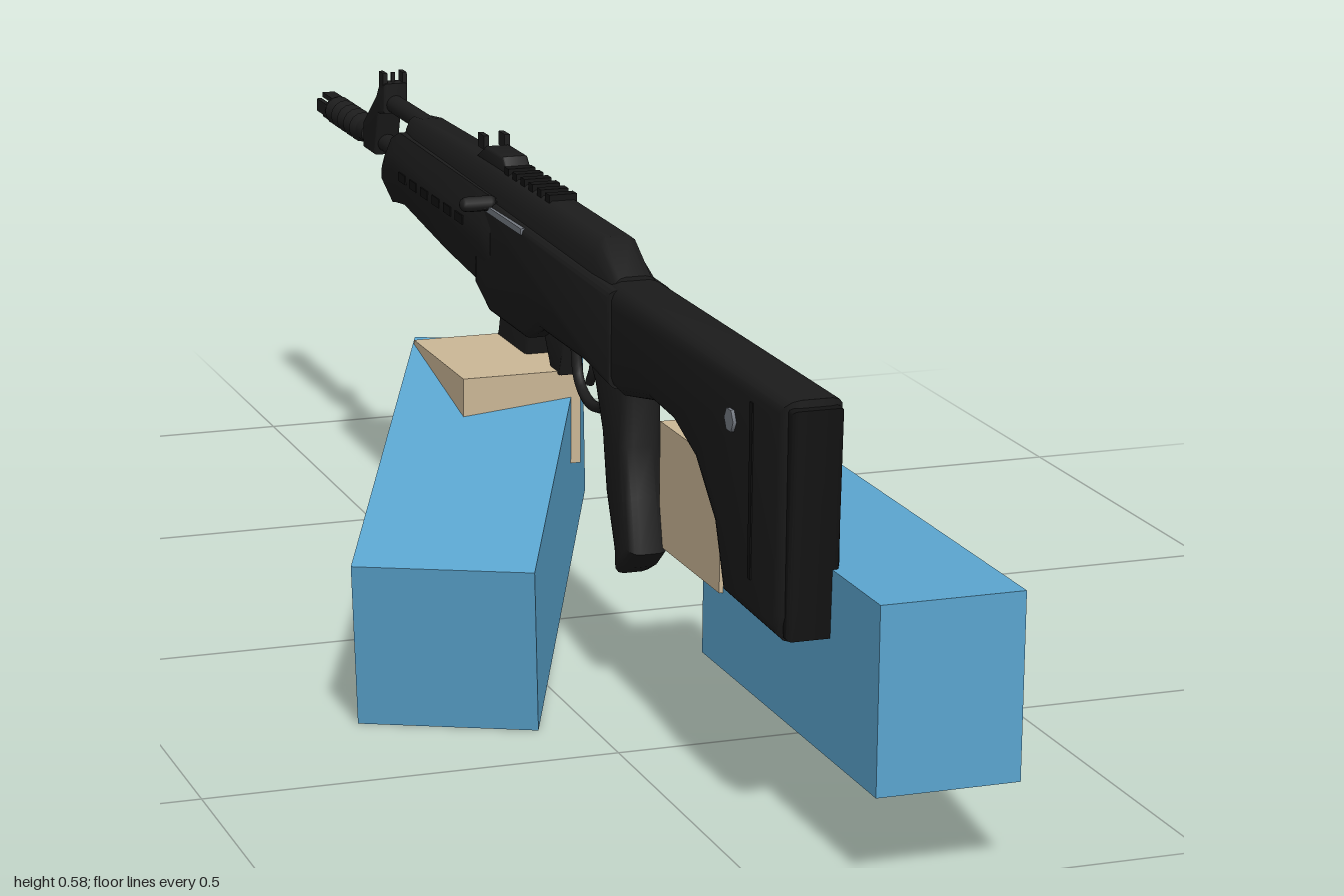
import * as THREE from 'three';
import { toCreasedNormals } from 'three/addons/utils/BufferGeometryUtils.js';

const CX = 0.089; // centre plane of the rifle

export function createModel() {
  const model = new THREE.Group();
  model.name = 'rifleWithArms';
  const mat = (name, color) => {
    const m = new THREE.MeshStandardMaterial({ color });
    m.name = name;
    return m;
  };
  const black = mat('gunBlack', 0x1c1c1c);
  const dark = mat('deepBlack', 0x121212);
  const blue = mat('sleeveBlue', 0x5ba5cf);
  const tan = mat('skinTan', 0xcbb796);
  const grey = mat('steelGrey', 0x747981);
  const brass = mat('brass', 0xa8642a);

  const add = (name, geo, material, x = 0, y = 0, z = 0) => {
    const m = new THREE.Mesh(geo, material);
    m.name = name;
    m.position.set(x, y, z);
    model.add(m);
    return m;
  };
  const box = (name, material, x, y, z, w, h, d) =>
    add(name, new THREE.BoxGeometry(w, h, d), material, x, y, z);

  // Side outline given as [z, y], extruded across the rifle with rounded edges
  const slab = (name, pts, width, bevel, material, smooth = false) => {
    const v = pts.map(p => new THREE.Vector2(p[0], p[1]));
    const shape = new THREE.Shape();
    if (smooth) shape.setFromPoints(new THREE.CatmullRomCurve3(
      v.map(p => new THREE.Vector3(p.x, p.y, 0)), true, 'centripetal').getPoints(48)
      .slice(0, -1).map(p => new THREE.Vector2(p.x, p.y)));
    else shape.setFromPoints(v);
    const depth = width - 2 * bevel;
    let geo = new THREE.ExtrudeGeometry(shape, {
      depth, bevelEnabled: bevel > 0, bevelSize: bevel, bevelThickness: bevel,
      bevelOffset: -bevel, bevelSegments: 3,
    });
    geo.translate(0, 0, -depth / 2);
    geo.rotateY(-Math.PI / 2);
    geo = toCreasedNormals(geo, 0.6);
    return add(name, geo, material, CX);
  };

  // Closed tube of cross-sections; stations are [z, bottom, top, width]
  const loft = (name, section, stations, material) => {
    const n = section.length, pos = [], idx = [];
    stations.forEach(([z, b, t, w]) => section.forEach(([sx, sy]) =>
      pos.push(sx * w / 2, b + (t - b) * sy, z)));
    for (let s = 0; s < stations.length - 1; s++)
      for (let i = 0; i < n; i++) {
        const a = s * n + i, b = s * n + (i + 1) % n;
        idx.push(a, b, b + n, a, b + n, a + n);
      }
    const e = (stations.length - 1) * n;
    for (let i = 1; i < n - 1; i++) idx.push(0, i + 1, i, e, e + i, e + i + 1);
    const geo = new THREE.BufferGeometry();
    geo.setAttribute('position', new THREE.Float32BufferAttribute(pos, 3));
    geo.setIndex(idx);
    return add(name, toCreasedNormals(geo, 0.7), material, CX);
  };
  const rod = (name, y, z0, z1, r0, r1 = r0, material = black) => {
    const geo = new THREE.CylinderGeometry(r1, r0, Math.abs(z1 - z0), 16);
    geo.rotateX(-Math.PI / 2);
    return add(name, geo, material, CX, y, (z0 + z1) / 2);
  };

  // Arms: one straight, one reaching up and across
  box('rightSleeve', blue, 0.194, 0.216, 0.74, 0.168, 0.215, 0.52);
  box('rightHand', tan, 0.164, 0.277, 0.445, 0.118, 0.153, 0.2);
  const sleeve = box('leftSleeve', blue, 0, 0, 0, 0.215, 0.2145, 0.587);
  const w = new THREE.Vector3(0.195, 0, 0.09).normalize();
  const l = new THREE.Vector3(-0.24, -0.131, 0.52).normalize();
  const u = new THREE.Vector3().crossVectors(l, w);
  sleeve.quaternion.setFromRotationMatrix(new THREE.Matrix4().makeBasis(w, u, l));
  sleeve.position.set(-0.051, 0.173, 0.114);
  box('leftHand', tan, 0.031, 0.284, -0.048, 0.153, 0.12, 0.205);
  box('leftFinger', tan, 0.118, 0.335, -0.135, 0.018, 0.05, 0.018);
  box('leftFingertip', tan, 0.118, 0.315, -0.148, 0.014, 0.02, 0.02);

  // Stock and butt plate
  slab('stock', [[0.865, 0.515], [0.3, 0.515], [0.24, 0.5], [0.24, 0.395], [0.34, 0.385],
    [0.44, 0.405], [0.52, 0.4], [0.59, 0.375], [0.65, 0.32], [0.68, 0.245], [0.85, 0.24],
    [0.865, 0.27]], 0.072, 0.018, black);
  slab('buttPlate', [[0.874, 0.505], [0.85, 0.508], [0.85, 0.245], [0.865, 0.245]],
    0.06, 0.006, dark);
  for (const s of [-1, 1]) {
    const pin = new THREE.CylinderGeometry(0.014, 0.014, 0.006, 6);
    pin.rotateZ(Math.PI / 2);
    add('stockPin', pin, grey, CX + s * 0.037, 0.455, 0.71);
    box('stockGroove', dark, CX + s * 0.0355, 0.39, 0.77, 0.004, 0.2, 0.008);
  }

  // Receiver, top cover and handguard
  const hull = [[-0.6, 0], [0.6, 0], [0.8, 0.25], [1, 0.5], [0.98, 0.72], [0.75, 1],
    [-0.75, 1], [-0.98, 0.72], [-1, 0.5], [-0.8, 0.25]];
  const cover = [[-1, 0], [1, 0], [0.92, 0.5], [0.7, 0.88], [0.45, 1],
    [-0.45, 1], [-0.7, 0.88], [-0.92, 0.5]];
  loft('handguard', hull, [[-0.61, 0.425, 0.47, 0.06], [-0.605, 0.42, 0.49, 0.08],
    [-0.58, 0.425, 0.515, 0.088], [-0.54, 0.43, 0.53, 0.09], [-0.35, 0.41, 0.528, 0.092],
    [-0.16, 0.395, 0.525, 0.09], [-0.13, 0.385, 0.525, 0.08]], black);
  slab('receiver', [[0.32, 0.51], [0.32, 0.39], [0.22, 0.4], [0.06, 0.4], [0, 0.375],
    [-0.14, 0.375], [-0.2, 0.4], [-0.2, 0.52]], 0.078, 0.01, black);
  loft('topCover', cover, [[-0.545, 0.515, 0.55, 0.05], [-0.5, 0.505, 0.555, 0.06],
    [-0.2, 0.505, 0.558, 0.064], [0.235, 0.505, 0.555, 0.064],
    [0.3, 0.505, 0.52, 0.056]], black);
  for (let i = 0; i < 6; i++) {
    box('railTooth', dark, CX, 0.558, 0.03 - i * 0.032, 0.036, 0.012, 0.016);
    for (const s of [-1, 1])
      box('handguardVent', dark, CX + s * 0.0452, 0.478, -0.24 - i * 0.05, 0.003, 0.012, 0.03);
  }
  box('ejectionPort', grey, CX + 0.0385, 0.5, -0.055, 0.008, 0.032, 0.15);
  box('boltSlot', grey, CX - 0.038, 0.51, -0.08, 0.006, 0.008, 0.15);
  const handle = new THREE.CapsuleGeometry(0.01, 0.03, 4, 10);
  handle.rotateZ(Math.PI / 2);
  add('chargingHandle', handle, black, 0.037, 0.518, -0.14);
  box('chargingStem', black, 0.055, 0.517, -0.14, 0.03, 0.01, 0.016);

  // Rear sight
  slab('rearSightBase', [[-0.13, 0.555], [-0.15, 0.574], [-0.22, 0.574], [-0.255, 0.555]],
    0.034, 0.003, black);
  for (const s of [-1, 1]) {
    box('rearSightEar', black, CX + s * 0.014, 0.578, -0.235, 0.007, 0.018, 0.025);
    box('frontSightEar', black, CX + s * 0.014, 0.575, -0.68, 0.006, 0.022, 0.02);
  }

  // Gas tube, front sight, barrel and muzzle device
  rod('gasTube', 0.542, -0.5, -0.7, 0.013);
  slab('frontSightBlock', [[-0.665, 0.572], [-0.688, 0.572], [-0.705, 0.55], [-0.77, 0.5],
    [-0.77, 0.463], [-0.715, 0.463], [-0.695, 0.525], [-0.668, 0.53]], 0.034, 0.004, black);
  box('frontSightPost', black, CX, 0.575, -0.68, 0.005, 0.02, 0.005);
  rod('barrel', 0.48, -0.55, -0.9, 0.013);
  rod('handguardCollar', 0.468, -0.59, -0.63, 0.024, 0.02);
  rod('muzzleBody', 0.48, -0.78, -0.94, 0.016);
  for (let i = 0; i < 5; i++)
    rod('muzzleRing', 0.48, -0.81 - i * 0.03, -0.825 - i * 0.03, 0.016, 0.021);
  rod('muzzleTip', 0.48, -0.94, -0.955, 0.019);
  for (const s of [-1, 1]) {
    box('muzzleProng', black, CX + s * 0.014, 0.48, -0.975, 0.007, 0.018, 0.05);
    box('muzzleProng', black, CX, 0.48 + s * 0.014, -0.975, 0.018, 0.007, 0.05);
  }

  // Pistol grip
  slab('pistolGrip', [[0.33, 0.405], [0.2, 0.405], [0.225, 0.37], [0.25, 0.32], [0.265, 0.25],
    [0.295, 0.185], [0.3, 0.155], [0.33, 0.17], [0.36, 0.195], [0.345, 0.26], [0.33, 0.32]],
    0.052, 0.014, black);

  // Trigger and its guard
  const curve = pts => new THREE.CatmullRomCurve3(pts.map(p => new THREE.Vector3(0, p[1], p[0])));
  const tube = (name, pts, r) =>
    add(name, new THREE.TubeGeometry(curve(pts), 20, r, 8), black, CX);
  tube('triggerGuard', [[0.235, 0.36], [0.2, 0.335], [0.14, 0.325], [0.1, 0.345], [0.085, 0.4]], 0.007);
  tube('trigger', [[0.15, 0.4], [0.155, 0.375], [0.14, 0.35]], 0.006);
  slab('magazineCatch', [[0.08, 0.4], [0.06, 0.34], [0.03, 0.335], [0, 0.38], [0, 0.4]],
    0.024, 0.003, black);

  // Curved magazine with ribs and a brass pull ring
  slab('magazine', [[-0.02, 0.4], [-0.045, 0.32], [-0.08, 0.23], [-0.125, 0.15], [-0.19, 0.078],
    [-0.285, 0.185], [-0.235, 0.23], [-0.185, 0.29], [-0.15, 0.35], [-0.135, 0.4]],
    0.046, 0.006, black);
  const floor = box('magazineFloor', black, CX, 0.133, -0.235, 0.054, 0.018, 0.14);
  floor.rotation.x = Math.atan2(0.107, 0.095);
  const ring = add('pullRing', new THREE.TorusGeometry(0.018, 0.005, 8, 20), brass, CX, 0.165, -0.27);
  ring.rotation.y = Math.PI / 2;

  return model;
}
